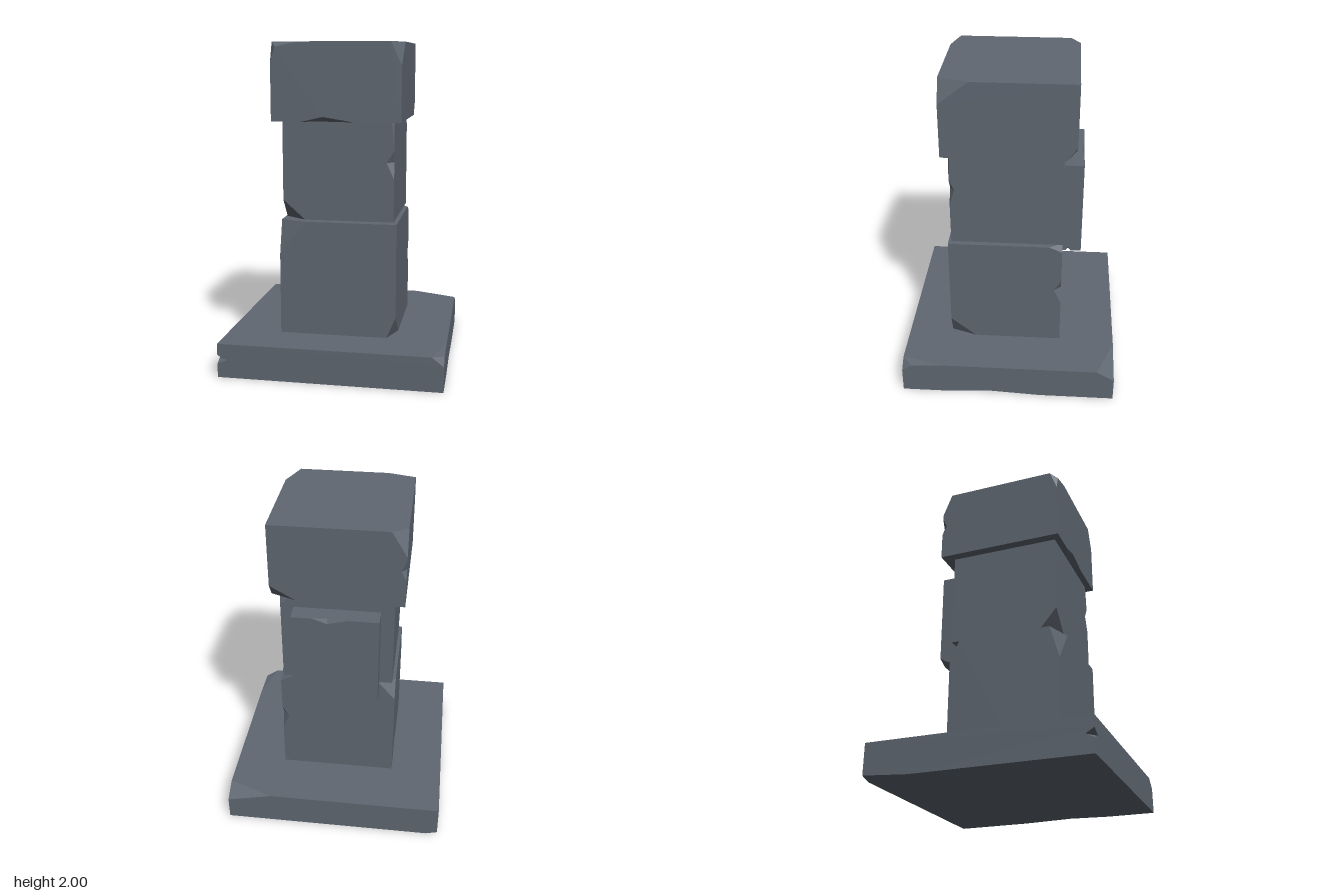
import * as THREE from 'three';

const stone = new THREE.MeshStandardMaterial({ color: 0x5f6771 });
stone.name = 'slateStone';

// A box with chipped corners and notched edges.
// chip: corner signs, cut lengths along the edges, optional bump { axis, inset } on one face
// notch: edge sides (0 on the running axis), start / peak / end along it, inward depth
function chippedBlock(name, min, max, chips = [], notches = []) {
  const pos = [];
  const at = (s) => s.map((v, i) => (v > 0 ? max[i] : min[i]));
  const inset = (p, s, d) => p.map((v, i) => v - s[i] * d[i]);
  const only = (i, v) => [0, 1, 2].map((k) => (k === i ? v : 0));

  // adds a triangle wound so that it faces dir
  function tri(a, b, c, dir) {
    const [A, B, C] = [a, b, c].map((p) => new THREE.Vector3(...p));
    const n = B.clone().sub(A).cross(C.clone().sub(A));
    if (n.dot(new THREE.Vector3(...dir)) < 0) pos.push(...a, ...c, ...b);
    else pos.push(...a, ...b, ...c);
  }
  const bumpPoint = (c) => inset(at(c.corner), c.corner, c.bump.inset);
  const along = (n, t, axis) => {
    const p = at(n.sides);
    p[axis] = t;
    return p;
  };

  // six faces, outlined around their chips and notches
  for (let a = 0; a < 3; a++) {
    for (const side of [-1, 1]) {
      const u = (a + 1) % 3, v = (a + 2) % 3, loop = [];
      [[-1, -1], [1, -1], [1, 1], [-1, 1]].forEach(([su, sv], k) => {
        const s = [0, 0, 0];
        s[a] = side; s[u] = su; s[v] = sv;
        const next = k % 2 ? v : u, prev = k % 2 ? u : v;
        const p = at(s);
        const chip = chips.find((c) => c.corner.every((q, i) => q === s[i]));
        if (chip) {
          loop.push(inset(p, s, only(prev, chip.cut[prev])));
          if (chip.bump && chip.bump.axis === a) loop.push(bumpPoint(chip));
          loop.push(inset(p, s, only(next, chip.cut[next])));
        } else loop.push(p);
        const notch = notches.find((n) => n.sides.every((q, i) => q === (i === next ? 0 : s[i])));
        if (notch) {
          const pts = notch.span.map((t) => along(notch, t, next));
          pts[1] = inset(pts[1], s, only(prev, notch.depth[prev]));
          if (s[next] > 0) pts.reverse();
          loop.push(...pts);
        }
      });
      const flat = loop.map((p) => new THREE.Vector2(p[u], p[v]));
      for (const [i, j, k] of THREE.ShapeUtils.triangulateShape(flat, []))
        tri(loop[i], loop[j], loop[k], only(a, side));
    }
  }

  // broken corner facets
  for (const c of chips) {
    const e = [0, 1, 2].map((i) => inset(at(c.corner), c.corner, only(i, c.cut[i])));
    if (c.bump) {
      const a = c.bump.axis, b = bumpPoint(c);
      tri(e[a], e[(a + 1) % 3], b, c.corner);
      tri(e[a], b, e[(a + 2) % 3], c.corner);
    } else tri(...e, c.corner);
  }

  // two facets inside each notch
  for (const n of notches) {
    const axis = n.sides.indexOf(0);
    const [e1, peak, e2] = n.span.map((t) => along(n, t, axis));
    const [f1, f2] = [0, 1, 2].filter((i) => i !== axis)
      .map((i) => inset(peak, n.sides, only(i, n.depth[i])));
    tri(e1, f1, f2, only(axis, 1));
    tri(e2, f1, f2, only(axis, -1));
  }

  const geo = new THREE.BufferGeometry();
  geo.setAttribute('position', new THREE.Float32BufferAttribute(pos, 3));
  geo.computeVertexNormals();
  const mesh = new THREE.Mesh(geo, stone);
  mesh.name = name;
  return mesh;
}

export function createModel() {
  const model = new THREE.Group();
  model.name = 'stonePillar';

  // wide footing slab
  model.add(chippedBlock('baseSlab', [-0.68, 0, -0.67], [0.68, 0.21, 0.67], [
    { corner: [1, 1, 1], cut: [0.07, 0.055, 0.27], bump: { axis: 0, inset: [0, 0.012, 0.06] } },
    { corner: [1, 1, -1], cut: [0.28, 0.065, 0.11] },
    { corner: [-1, -1, -1], cut: [0.07, 0.02, 0.28] },
  ], [
    { sides: [1, -1, 0], span: [-0.2, 0.12, 0.37], depth: [0.03, 0.018, 0] },
    { sides: [-1, 0, 1], span: [0.085, 0.11, 0.14], depth: [0.06, 0, 0.05] },
  ]));

  // lower shaft block
  model.add(chippedBlock('lowerBlock', [-0.355, 0.21, -0.32], [0.365, 0.92, 0.39], [
    { corner: [-1, 1, 1], cut: [0.165, 0.21, 0.06] },
    { corner: [1, -1, 1], cut: [0.055, 0.13, 0.16] },
    { corner: [1, 1, -1], cut: [0.06, 0.035, 0.08] },
    { corner: [-1, 1, -1], cut: [0.1, 0.12, 0.06] },
  ], [
    { sides: [1, 0, -1], span: [0.5, 0.6, 0.67], depth: [0.04, 0, 0.045] },
    { sides: [-1, -1, 0], span: [-0.18, -0.08, 0.08], depth: [0.04, 0.04, 0] },
  ]));

  // upper shaft block
  model.add(chippedBlock('upperBlock', [-0.335, 0.93, -0.32], [0.345, 1.53, 0.37], [
    { corner: [-1, -1, 1], cut: [0.135, 0.12, 0.1] },
    { corner: [1, 1, -1], cut: [0.08, 0.08, 0.02] },
    { corner: [1, 1, 1], cut: [0.015, 0.16, 0.012] },
  ], [
    { sides: [1, 0, 1], span: [1.19, 1.29, 1.36], depth: [0.045, 0, 0.03] },
  ]));

  // capstone
  model.add(chippedBlock('capstone', [-0.395, 1.53, -0.39], [0.39, 2, 0.41], [
    { corner: [-1, 1, 1], cut: [0.17, 0.12, 0.045], bump: { axis: 2, inset: [0.03, 0.03, 0] } },
    { corner: [1, 1, 1], cut: [0.065, 0.14, 0.18] },
    { corner: [-1, 1, -1], cut: [0.09, 0.15, 0.06] },
    { corner: [1, -1, -1], cut: [0.15, 0.085, 0.06] },
  ], [
    { sides: [0, -1, 1], span: [-0.21, -0.08, 0.11], depth: [0, 0.03, 0.04] },
    { sides: [-1, 0, -1], span: [1.7, 1.76, 1.83], depth: [0.03, 0, 0.03] },
  ]));

  // tablet on the back
  model.add(chippedBlock('backTablet', [-0.255, 0.84, -0.435], [0.265, 1.44, -0.32], [
    { corner: [-1, -1, -1], cut: [0.07, 0.03, 0.05] },
  ], [
    { sides: [0, 1, -1], span: [-0.07, 0.05, 0.14], depth: [0, 0.03, 0.012] },
    { sides: [1, -1, 0], span: [-0.37, -0.355, -0.335], depth: [0.03, 0.025, 0] },
  ]));

  return model;
}
